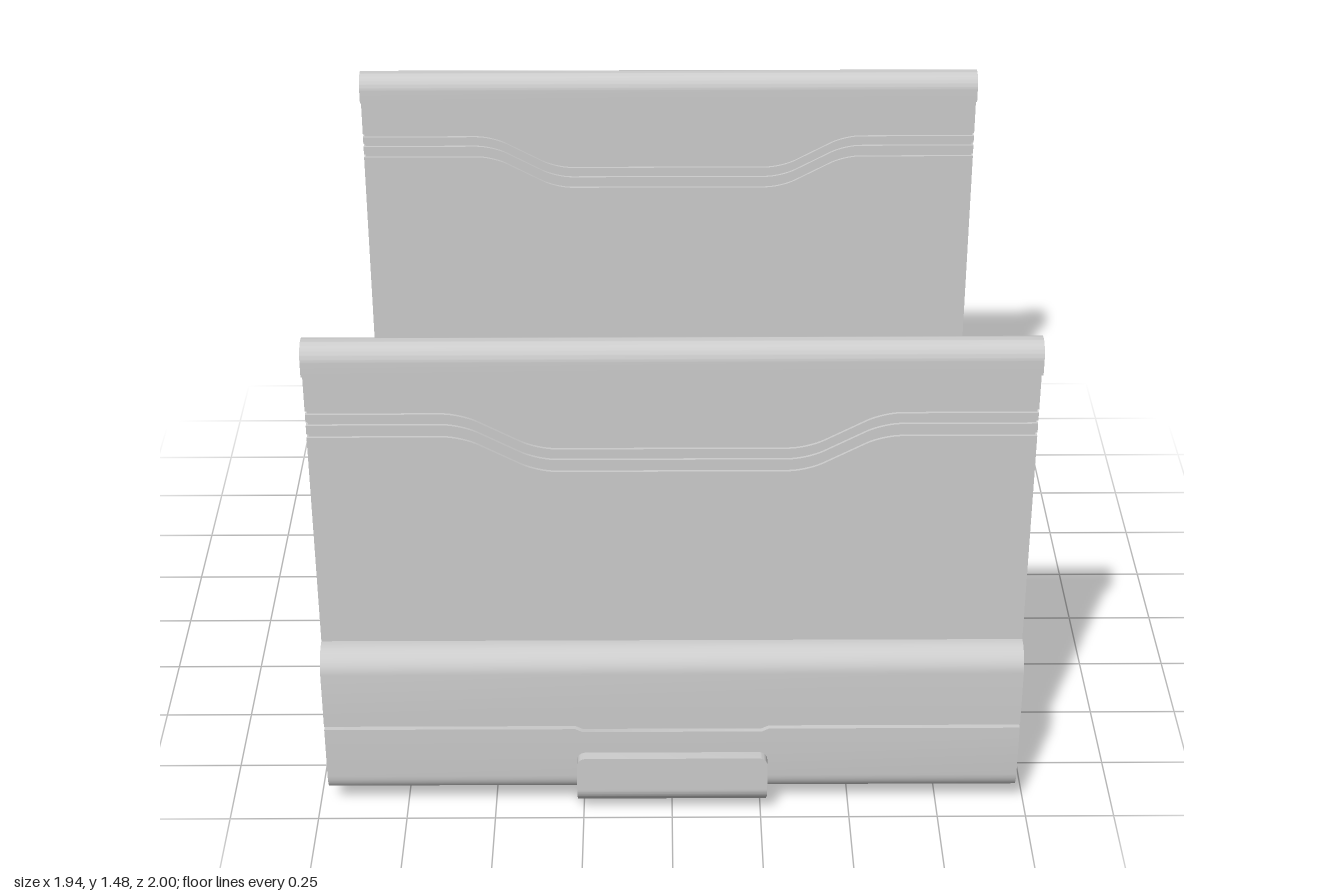
import * as THREE from 'three';
import { toCreasedNormals } from 'three/addons/utils/BufferGeometryUtils.js';

const HALF = 0.97; // half length along x, and half depth of the base
const WALL_Z = 0.883;
const material = new THREE.MeshStandardMaterial({ color: 0xcccccc });

function mesh(geometry, name) {
  const m = new THREE.Mesh(toCreasedNormals(geometry, 0.6), material);
  m.name = name;
  return m;
}

// Shape from points [x, y, radius]; corners with a radius are rounded
function roundedShape(points) {
  const shape = new THREE.Shape();
  const n = points.length;
  points.forEach(([x, y, r = 0], i) => {
    const p = new THREE.Vector2(x, y);
    const toward = ([ax, ay]) => new THREE.Vector2(ax, ay).sub(p).setLength(r).add(p);
    const a = r ? toward(points[(i + n - 1) % n]) : p;
    if (i === 0) shape.moveTo(a.x, a.y);
    else shape.lineTo(a.x, a.y);
    if (r) {
      const b = toward(points[(i + 1) % n]);
      // cubic handles approximating a circular arc
      const c1 = a.clone().lerp(p, 0.55), c2 = b.clone().lerp(p, 0.55);
      shape.bezierCurveTo(c1.x, c1.y, c2.x, c2.y, b.x, b.y);
    }
  });
  shape.closePath();
  return shape;
}

// Extrude an (x, y) shape along z, centred on z = 0
function alongZ(points, depth) {
  return new THREE.ExtrudeGeometry(roundedShape(points), { depth, bevelEnabled: false, curveSegments: 8 })
    .translate(0, 0, -depth / 2);
}

// Extrude a (z, y) profile along x, centred on x = 0
const alongX = (points, length) => alongZ(points, length).rotateY(Math.PI / 2);

// Complete a half profile by reflecting it in the vertical axis
const mirrored = (half) => [...half, ...half.slice().reverse().map(([x, y, r]) => [-x, y, r])];

// Lower and upper shells with a seam that widens into pry slots
function createBase() {
  const base = new THREE.Group();
  base.name = 'base';
  const lower = mirrored([[HALF, 0.26], [HALF, 0.06, 0.065], [0.8, 0.06], [0.8, 0.13]]);
  const upper = mirrored([[0.8, 0.46], [0.8, 0.535, 0.04], [HALF, 0.535, 0.065], [HALF, 0.32]]);
  base.add(mesh(alongX(lower, 2 * HALF), 'lowerShell'));
  base.add(mesh(alongX(upper, 2 * HALF), 'upperShell'));

  const seamEdge = (far, edge, slot) => mirrored([[HALF, far], [HALF, edge], [0.27, edge], [0.25, slot]]);
  base.add(mesh(alongZ(seamEdge(0.26, 0.286, 0.276), 2 * HALF), 'lowerSeamEdge'));
  base.add(mesh(alongZ(seamEdge(0.32, 0.297, 0.306), 2 * HALF), 'upperSeamEdge'));
  const core = new THREE.BoxGeometry(2 * HALF - 0.03, 0.08, 2 * HALF - 0.03).translate(0, 0.29, 0);
  base.add(mesh(core, 'seamCore'));
  return base;
}

// Strap passing under the base, with a raised pad at each end
function createFoot() {
  const foot = new THREE.Group();
  foot.name = 'footStrap';
  const profile = mirrored([[0.96, 0.135], [0.96, 0.1], [1, 0.1], [1, 0.075, 0.02], [0.915, 0, 0.025]]);
  foot.add(mesh(alongX(profile, 0.534), 'strap'));
  const pad = mirrored([[0.267, 0.1], [0.267, 0.205, 0.025]]);
  for (const s of [1, -1]) {
    const m = mesh(alongZ(pad, 0.04), 'strapPad');
    m.position.z = s * 0.98;
    foot.add(m);
  }
  return foot;
}

// Left-to-right path of a decorative groove, high at the ends and low in the middle
const groovePath = (y) => [
  [-HALF, y], [-0.56, y, 0.05], [-0.36, y - 0.108, 0.05],
  [0.36, y - 0.108, 0.05], [0.56, y, 0.05], [HALF, y],
];

// Upright panel split by three grooves, with a top rail
function createWall(name) {
  const wall = new THREE.Group();
  wall.name = name;
  const gap = 0.005;
  const flat = (y) => [[-HALF, y], [HALF, y]];
  const grooves = [1.192, 1.229, 1.262];
  for (let i = 0; i <= grooves.length; i++) {
    const bottom = i === 0 ? flat(0.5) : groovePath(grooves[i - 1] + gap);
    const top = i === grooves.length ? flat(1.42) : groovePath(grooves[i] - gap);
    wall.add(mesh(alongZ([...bottom, ...top.reverse()], 0.028), 'panelSection'));
  }
  const core = new THREE.BoxGeometry(2 * HALF - 0.01, 0.9, 0.012).translate(0, 0.95, 0);
  wall.add(mesh(core, 'panelCore'));

  const rail = mirrored([[0.045, 1.388], [0.045, 1.445, 0.015], [0.022, 1.475, 0.018]]);
  wall.add(mesh(alongX(rail, 2 * HALF), 'topRail'));
  const catchShape = [[-0.645, 1.39], [-0.62, 1.365], [-0.395, 1.365], [-0.37, 1.39]];
  wall.add(mesh(alongZ(catchShape, 0.09), 'railCatch'));
  return wall;
}

export function createModel() {
  const model = new THREE.Group();
  model.name = 'openCase';
  model.add(createBase(), createFoot());
  const front = createWall('frontWall');
  front.position.z = WALL_Z;
  const back = createWall('backWall');
  back.position.z = -WALL_Z;
  model.add(front, back);
  return model;
}
